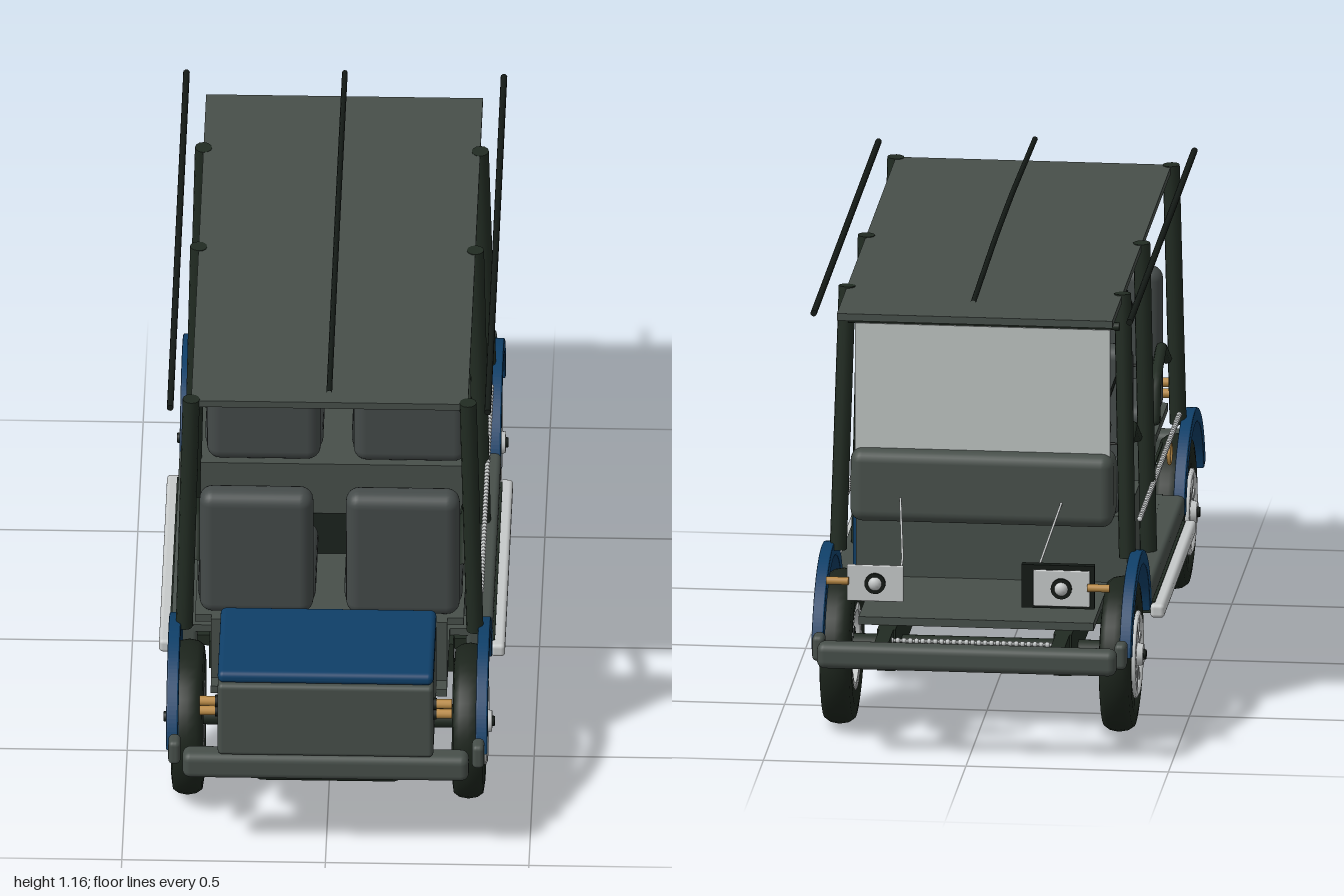
import * as THREE from 'three';
import { RoundedBoxGeometry } from 'three/addons/geometries/RoundedBoxGeometry.js';

const mat = (name, color, side = THREE.FrontSide) => {
  const m = new THREE.MeshStandardMaterial({ color, side });
  m.name = name;
  return m;
};
const V = (x, y, z) => new THREE.Vector3(x, y, z);

export function createModel() {
  const root = new THREE.Group();
  const frame = mat('frame green black', 0x212b22);
  const rubber = mat('tyre rubber', 0x1c241c);
  const gray = mat('body gray', 0x474f4a);
  const seat = mat('seat gray', 0x454b4a);
  const blue = mat('body blue', 0x0f3f68);
  const silver = mat('silver', 0xc6c9c9);
  const brass = mat('amber', 0xb98a45);
  const glass = mat('windshield glass', 0xbec4c2, THREE.DoubleSide);
  const black = mat('black trim', 0x141a16);

  const add = (name, geo, material, x = 0, y = 0, z = 0, parent = root) => {
    const m = new THREE.Mesh(geo, material);
    m.name = name;
    m.position.set(x, y, z);
    parent.add(m);
    return m;
  };
  // Boxes are given by their ranges along each axis
  const box = (name, material, [x0, x1], [y0, y1], [z0, z1], r = 0, parent = root) => {
    const s = [x1 - x0, y1 - y0, z1 - z0];
    const geo = r ? new RoundedBoxGeometry(...s, 3, r) : new THREE.BoxGeometry(...s);
    return add(name, geo, material, (x0 + x1) / 2, (y0 + y1) / 2, (z0 + z1) / 2, parent);
  };
  const rod = (name, material, a, b, r, sides = 12, parent = root) => {
    const m = add(name, new THREE.CylinderGeometry(r, r, a.distanceTo(b), sides), material, 0, 0, 0, parent);
    m.position.copy(a).add(b).multiplyScalar(0.5);
    m.quaternion.setFromUnitVectors(V(0, 1, 0), b.clone().sub(a).normalize());
    return m;
  };
  const tube = (name, material, pts, r, parent = root, n = 24) =>
    add(name, new THREE.TubeGeometry(new THREE.CatmullRomCurve3(pts, false, 'catmullrom', 0.2), n, r, 8), material, 0, 0, 0, parent);
  const lathe = (pts, n) =>
    new THREE.LatheGeometry(pts.map(p => new THREE.Vector2(...p)), n).rotateZ(-Math.PI / 2);
  // Range on one side of the car
  const sideRange = (s, a, b) => (s > 0 ? [a, b] : [-b, -a]);

  // Wheels: tyre, rim, spokes and hub
  const tyreGeo = lathe([[0.105, -0.036], [0.15, -0.04], [0.178, -0.036], [0.188, -0.022], [0.192, 0],
    [0.188, 0.022], [0.178, 0.036], [0.15, 0.04], [0.105, 0.036], [0.105, -0.036]], 40);
  const rimGeo = lathe([[0.09, -0.036], [0.108, -0.038], [0.108, 0.042], [0.098, 0.046], [0.09, 0.036], [0.09, -0.036]], 36);
  for (const z of [0.643, -0.63]) for (const s of [-1, 1]) {
    const w = new THREE.Group();
    w.name = 'wheel';
    w.position.set(s * 0.345, 0.192, z);
    if (s < 0) w.rotation.y = Math.PI;
    root.add(w);
    add('tyre', tyreGeo, rubber, 0, 0, 0, w);
    add('rim', rimGeo, silver, 0, 0, 0, w);
    add('hub', new THREE.CylinderGeometry(0.026, 0.036, 0.045, 20).rotateZ(-Math.PI / 2), silver, 0.033, 0, 0, w);
    add('hubCap', new THREE.CylinderGeometry(0.012, 0.014, 0.008, 14).rotateZ(-Math.PI / 2), black, 0.058, 0, 0, w);
    add('brakeDrum', new THREE.CylinderGeometry(0.05, 0.05, 0.03, 20).rotateZ(Math.PI / 2), black, -0.015, 0, 0, w);
    for (let i = 0; i < 10; i++) {
      const a = i * Math.PI / 5;
      const spoke = add('spoke', new THREE.BoxGeometry(0.014, 0.07, 0.015), silver, 0.033, Math.cos(a) * 0.063, Math.sin(a) * 0.063, w);
      spoke.rotation.x = a;
    }
    // Fender hoop
    const arc = new THREE.Shape();
    arc.absarc(0, 0, 0.25, 0.24, Math.PI - 0.24, false);
    arc.absarc(0, 0, 0.222, Math.PI - 0.24, 0.24, true);
    const fenderGeo = new THREE.ExtrudeGeometry(arc, { depth: 0.022, bevelSize: 0.004, bevelThickness: 0.004, bevelSegments: 2, curveSegments: 32 });
    fenderGeo.translate(0, 0, -0.011).rotateY(Math.PI / 2);
    add('fender', fenderGeo, blue, s * 0.38, 0.195, z);
  }

  // Chassis, axles and drive unit
  box('floor', gray, [-0.34, 0.34], [0.285, 0.305], [-0.4, 0.4]);
  box('frontFloor', gray, [-0.29, 0.29], [0.285, 0.305], [-0.76, -0.4]);
  box('rearFloor', gray, [-0.29, 0.29], [0.285, 0.305], [0.4, 0.68]);
  box('underTray', frame, [-0.3, 0.3], [0.205, 0.284], [-0.42, 0.44]);
  box('bellyPan', black, [-0.2, 0.2], [0.185, 0.205], [-0.14, 0.31]);
  box('floorMat', black, [-0.33, 0.33], [0.305, 0.335], [-0.07, 0.31]);
  for (const z of [0.643, -0.63]) rod('axle', frame, V(-0.32, 0.2, z), V(0.32, 0.2, z), 0.025);
  box('driveUnit', frame, [-0.185, 0.185], [0.1, 0.24], [0.53, 0.8], 0.025);
  for (const s of [-1, 1]) {
    box('frameRail', frame, sideRange(s, 0.195, 0.24), [0.18, 0.285], [-0.8, 0.82]);
    box('frameHorn', frame, sideRange(s, 0.2, 0.235), [0.24, 0.285], [-0.96, 0.96]);
    box('sill', gray, sideRange(s, 0.33, 0.395), [0.245, 0.305], [-0.41, 0.4], 0.012);
    box('sideStep', silver, sideRange(s, 0.39, 0.425), [0.212, 0.247], [-0.38, 0.385], 0.01);
    box('stepBracket', frame, sideRange(s, 0.28, 0.4), [0.22, 0.25], [-0.36, 0.36]);
    for (const e of [-1, 1])
      box('bumperEnd', gray, sideRange(s, 0.358, 0.388), [0.235, 0.3], e > 0 ? [0.885, 0.935] : [-0.93, -0.88], 0.012);
  }
  box('frontBumper', gray, [-0.37, 0.37], [0.235, 0.3], [-1, -0.945], 0.02);
  box('rearBumper', gray, [-0.352, 0.352], [0.235, 0.305], [0.94, 1], 0.02);

  // Trunk with lid
  box('trunk', gray, [-0.265, 0.265], [0.305, 0.51], [0.69, 0.998], 0.012);
  box('trunkLid', blue, [-0.265, 0.265], [0.512, 0.544], [0.685, 0.995], 0.014);
  for (const s of [-1, 1]) for (const y of [0.405, 0.433]) {
    rod('tailLight', brass, V(s * 0.262, y, 0.947), V(s * 0.31, y, 0.947), 0.012);
    rod('tailLightBase', black, V(s * 0.26, y, 0.947), V(s * 0.272, y, 0.947), 0.015);
  }

  // Seats facing the steering wheel
  for (const zo of [0, -0.7]) for (const s of [-1, 1]) {
    const g = new THREE.Group();
    g.name = 'seatUnit';
    g.position.set(s * 0.18, 0, zo);
    root.add(g);
    box('cushion', seat, [-0.145, 0.145], [0.475, 0.555], [0.295, 0.585], 0.032, g);
    const back = box('backrest', seat, [-0.14, 0.14], [0.475, 0.83], [0.555, 0.63], 0.033, g);
    back.rotation.x = 0.04;
    // Quilting on the backrest
    const zig = [];
    for (let i = 0; i <= 8; i++) zig.push(V(-0.11 + i * 0.0275, i % 2 ? 0.7 : 0.78, 0.548));
    for (let i = 0; i < 8; i++) rod('quilting', black, zig[i], zig[i + 1], 0.003, 5, g);
    rod('backSeam', black, V(-0.11, 0.59, 0.545), V(0.11, 0.59, 0.545), 0.003, 5, g);
    tube('armrest', frame, [V(s * 0.15, 0.6, 0.58), V(s * 0.15, 0.662, 0.46), V(s * 0.15, 0.615, 0.33),
      V(s * 0.15, 0.52, 0.3), V(s * 0.15, 0.52, 0.33)], 0.014, g);
  }
  box('rearSeatFront', gray, [-0.33, 0.33], [0.305, 0.46], [0.333, 0.34]);
  box('rearSeatDeck', gray, [-0.33, 0.33], [0.455, 0.475], [0.333, 0.62]);
  box('rearWall', gray, [-0.29, 0.29], [0.305, 0.475], [0.62, 0.64]);
  box('frontSeatBase', gray, [-0.335, 0.335], [0.305, 0.475], [-0.395, -0.075]);
  box('sidePanel', blue, [0.336, 0.344], [0.32, 0.455], [-0.38, -0.085]);

  // Posts, roof and long roof rods
  for (const s of [-1, 1]) {
    rod('rearPost', frame, V(s * 0.357, 0.43, 0.6), V(s * 0.34, 1.09, 0.6), 0.021);
    rod('middlePost', frame, V(s * 0.357, 0.3, -0.098), V(s * 0.34, 1.09, -0.098), 0.021);
    rod('frontPost', frame, V(s * 0.357, 0.43, -0.6), V(s * 0.34, 1.09, -0.55), 0.021);
    rod('sideRoofRod', black, V(s * 0.39, 1.107, -0.865), V(s * 0.39, 1.107, 0.67), 0.008);
    rod('sideRail', frame, V(s * 0.345, 0.455, -0.07), V(s * 0.345, 0.455, 0.33), 0.004, 6);
  }
  box('roof', gray, [-0.34, 0.34], [1.07, 1.088], [-0.795, 0.605]);
  for (const z of [0.32, -0.51]) box('roofRib', gray, [-0.3, 0.3], [1.06, 1.07], [z - 0.008, z + 0.008]);
  tube('centreRoofRod', black, [V(0, 1.135, -0.83), V(0, 1.15, -0.3), V(0, 1.15, 0.1), V(0, 1.135, 0.635)], 0.007);

  // Windshield and dashboard
  box('windshield', glass, [-0.315, 0.315], [0.62, 1.01], [-0.604, -0.599]);
  rod('windshieldBar', frame, V(-0.335, 1.012, -0.575), V(0.335, 1.012, -0.575), 0.01);
  const dash = box('dashboard', gray, [-0.325, 0.325], [0.51, 0.692], [-0.645, -0.525], 0.03);
  dash.rotation.x = 0.04;
  box('dashPanel', black, [0.04, 0.27], [0.56, 0.635], [-0.524, -0.517]);
  box('dashStrip', silver, [-0.29, 0.29], [0.655, 0.661], [-0.524, -0.517]);
  box('dashSwitch', black, [-0.018, 0.018], [0.565, 0.62], [-0.53, -0.51], 0.008);
  for (const x of [-0.25, -0.11])
    add('gauge', new THREE.CylinderGeometry(0.028, 0.028, 0.012, 20).rotateX(Math.PI / 2), silver, x, 0.605, -0.522);

  // Steering wheel, column and pedals
  const steering = new THREE.Group();
  steering.name = 'steeringWheel';
  steering.position.set(-0.18, 0.722, -0.443);
  steering.rotation.x = -0.416;
  root.add(steering);
  add('steeringRim', new THREE.TorusGeometry(0.11, 0.011, 8, 32), frame, 0, 0, 0, steering);
  for (let i = 0; i < 3; i++) {
    const a = Math.PI / 6 + i * Math.PI * 2 / 3;
    rod('steeringSpoke', frame, V(0, 0, -0.015), V(Math.cos(a) * 0.108, Math.sin(a) * 0.108, 0), 0.007, 8, steering);
  }
  rod('steeringColumn', frame, V(0, 0, 0), V(0, 0, -0.13), 0.015, 12, steering);
  for (const x of [-0.22, -0.13]) box('pedal', black, [x - 0.025, x + 0.025], [0.31, 0.33], [-0.6, -0.54]);

  // Headlights, turn signals and stay rods
  for (const s of [-1, 1]) {
    box('headlight', silver, sideRange(s, 0.16, 0.3), [0.398, 0.49], [-0.945, -0.936], 0.003);
    add('lamp', new THREE.CylinderGeometry(0.026, 0.026, 0.014, 20).rotateX(Math.PI / 2), black, s * 0.23, 0.445, -0.945);
    add('lampLens', new THREE.SphereGeometry(0.02, 16, 10), silver, s * 0.23, 0.445, -0.942);
    rod('turnSignal', brass, V(s * 0.295, 0.45, -0.95), V(s * 0.35, 0.45, -0.95), 0.01);
    rod('stayRod', silver, V(s * 0.17, 0.488, -0.87), V(s * 0.2, 0.58, -0.635), 0.003, 6);
    rod('headlightStay', silver, V(s * 0.17, 0.46, -0.937), V(s * 0.17, 0.488, -0.87), 0.003, 6);
  }
  box('headlightFrame', black, [-0.31, -0.13], [0.39, 0.5], [-0.932, -0.912]);

  // Side and front chains, brass hooks
  const bead = new THREE.SphereGeometry(0.007, 8, 6);
  const chain = (a, b, n) => {
    for (let i = 0; i <= n; i++) {
      const p = a.clone().lerp(b, i / n);
      add('chainLink', bead, silver, p.x, p.y, p.z);
    }
    rod('chainCore', silver, a, b, 0.004, 6);
  };
  for (const s of [-1, 1]) {
    chain(V(s * 0.37, 0.48, 0.5), V(s * 0.37, 0.48, -0.43), 60);
    add('brassHook', new THREE.TorusGeometry(0.025, 0.005, 8, 20), brass, s * 0.35, 0.39, 0.47).rotation.y = Math.PI / 2;
  }
  chain(V(-0.2, 0.27, -0.84), V(0.2, 0.27, -0.84), 26);
  return root;
}
